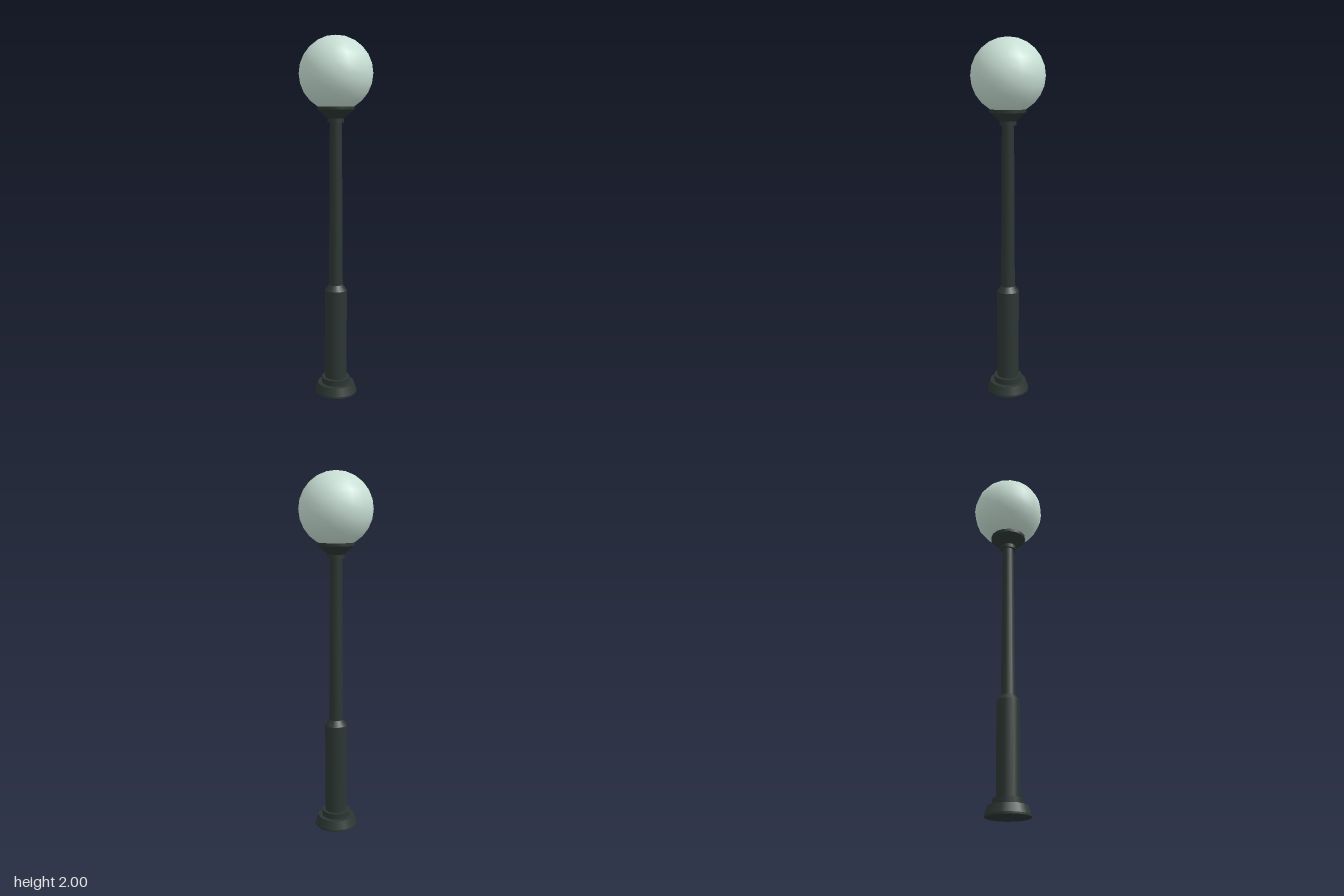
import * as THREE from 'three';

const SIDES = 16;

export function createModel() {
  const model = new THREE.Group();
  model.name = 'streetLamp';

  const iron = new THREE.MeshStandardMaterial({ color: 0x2b3633 });
  iron.name = 'dark green iron';
  const glass = new THREE.MeshStandardMaterial({ color: 0xc8dfd5 });
  glass.name = 'pale green glass';

  // Round section standing between two heights, with its own bottom and top radius
  function section(name, y0, y1, r0, r1) {
    const mesh = new THREE.Mesh(new THREE.CylinderGeometry(r1, r0, y1 - y0, SIDES), iron);
    mesh.name = name;
    mesh.position.y = (y0 + y1) / 2;
    model.add(mesh);
  }

  // Foot
  section('footPlate', 0, 0.01, 0.12, 0.12);
  section('footFlare', 0.01, 0.057, 0.12, 0.104);
  section('footRing', 0.057, 0.09, 0.08, 0.08);

  // Column
  section('lowerColumn', 0.09, 0.605, 0.062, 0.062);
  section('columnShoulder', 0.605, 0.637, 0.062, 0.039);
  section('upperPost', 0.637, 1.545, 0.039, 0.033);

  // Globe holder
  section('collar', 1.54, 1.563, 0.045, 0.045);
  section('holderCup', 1.563, 1.61, 0.045, 0.1);
  section('holderRim', 1.61, 1.63, 0.1, 0.1);

  // Globe
  const globe = new THREE.Mesh(new THREE.SphereGeometry(0.2, SIDES, 12), glass);
  globe.name = 'globe';
  globe.position.y = 1.8;
  model.add(globe);

  return model;
}
